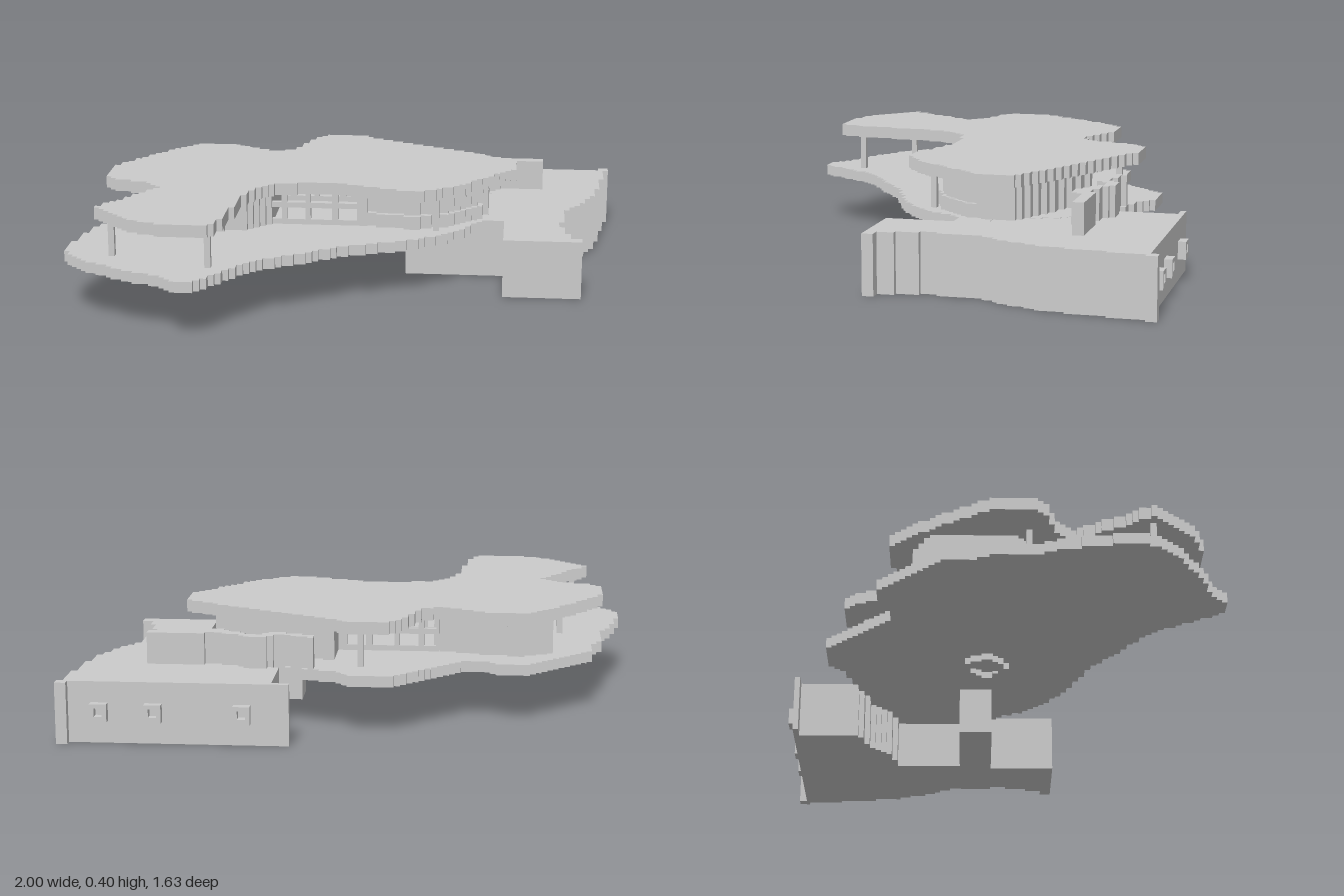
import * as THREE from 'three';

const CELL = 0.0208;
const material = new THREE.MeshStandardMaterial({ color: 0xcccccc, flatShading: true });

// Turns a rough outline of [x, z] points into a stair-stepped one on the block grid.
function steppedShape(points) {
  const grid = points.map(([x, z]) => [Math.round(x / CELL), Math.round(z / CELL)]);
  const path = [];
  grid.forEach(([x0, z0], i) => {
    const [x1, z1] = grid[(i + 1) % grid.length];
    const nx = Math.abs(x1 - x0), nz = Math.abs(z1 - z0);
    const sx = Math.sign(x1 - x0), sz = Math.sign(z1 - z0);
    let x = x0, z = z0;
    for (let a = 0, b = 0; a < nx || b < nz;) {
      path.push(new THREE.Vector2(x * CELL, z * CELL));
      if ((a + 0.5) * nz < (b + 0.5) * nx) { x += sx; a++; } else { z += sz; b++; }
    }
  });
  return new THREE.Shape(path);
}

// Extrudes a plan shape upward between two heights.
function addPlan(group, name, shape, y0, y1) {
  const geometry = new THREE.ExtrudeGeometry(shape, { depth: y1 - y0, bevelEnabled: false });
  geometry.rotateX(Math.PI / 2).translate(0, y1, 0);
  const mesh = new THREE.Mesh(geometry, material);
  mesh.name = name;
  group.add(mesh);
}

// Box given by its limits on each axis.
function addBox(group, name, [x0, x1], [y0, y1], [z0, z1]) {
  const mesh = new THREE.Mesh(new THREE.BoxGeometry(x1 - x0, y1 - y0, z1 - z0), material);
  mesh.position.set((x0 + x1) / 2, (y0 + y1) / 2, (z0 + z1) / 2);
  mesh.name = name;
  group.add(mesh);
}

// Window wall along x: posts and three rails, open between them.
function addWindowWall(group, name, z) {
  const wall = new THREE.Group();
  wall.name = name;
  for (const [a, b] of [[0.22, 0.24], [0.285, 0.305], [0.345, 0.36]]) {
    addBox(wall, 'windowRail', [-0.31, 0.07], [a, b], [z - 0.01, z + 0.01]);
  }
  for (const [a, b] of [[-0.31, -0.3], [-0.255, -0.235], [-0.165, -0.145], [-0.065, -0.04], [0.03, 0.07]]) {
    addBox(wall, 'windowPost', [a, b], [0.22, 0.355], [z - 0.01, z + 0.01]);
  }
  group.add(wall);
}

export function createModel() {
  const model = new THREE.Group();
  model.name = 'terraceHouse';

  // Rocky base with a pocket beneath the terrace
  addPlan(model, 'base', steppedShape([
    [0.19, -0.8], [0.98, -0.8], [0.98, -0.67], [0.95, -0.65], [0.95, -0.52], [0.93, -0.5], [0.93, -0.42],
    [0.91, -0.38], [0.87, -0.28], [0.84, -0.2], [0.82, -0.16], [0.82, -0.02], [0.8, -0.02], [0.8, 0.03],
    [0.82, 0.05], [0.82, 0.12], [0.84, 0.12], [0.84, 0.18], [0.865, 0.18], [0.865, 0.225], [0.58, 0.225],
    [0.58, -0.02], [0.21, -0.02], [0.21, -0.15], [0.57, -0.15], [0.57, -0.4], [0.44, -0.42], [0.36, -0.5],
    [0.25, -0.54], [0.25, -0.76], [0.19, -0.76],
  ]), 0, 0.22);
  addBox(model, 'pocketCeiling', [0.3, 0.58], [0.185, 0.219], [-0.5, -0.1]);
  addBox(model, 'baseCorner', [0.96, 1], [0, 0.22], [-0.82, -0.78]);
  for (const x of [0.35, 0.66, 0.85]) {
    addBox(model, 'backWindowSill', [x - 0.03, x + 0.03], [0.08, 0.1], [-0.82, -0.79]);
    addBox(model, 'backWindowLintel', [x - 0.03, x + 0.03], [0.13, 0.145], [-0.82, -0.79]);
    for (const s of [-1, 1]) {
      addBox(model, 'backWindowJamb', [x + s * 0.022 - 0.008, x + s * 0.022 + 0.008], [0.1, 0.13], [-0.82, -0.79]);
    }
  }
  addBox(model, 'sideWindow', [0.86, 0.89], [0.08, 0.13], [-0.36, -0.315]);

  // Cantilevered terrace
  addPlan(model, 'terrace', steppedShape([
    [-1, 0.42], [-1, 0.48], [-0.96, 0.57], [-0.88, 0.62], [-0.72, 0.7], [-0.6, 0.75], [-0.54, 0.82],
    [-0.48, 0.82], [-0.43, 0.75], [-0.35, 0.62], [-0.25, 0.51], [-0.15, 0.45], [0, 0.36], [0.2, 0.28],
    [0.35, 0.19], [0.44, 0.08], [0.49, -0.02], [0.49, -0.15], [0.44, -0.35], [0.35, -0.45], [0.2, -0.54],
    [0.12, -0.57], [0.03, -0.61], [0, -0.65], [-0.14, -0.65], [-0.2, -0.6], [-0.3, -0.49], [-0.42, -0.4],
    [-0.5, -0.4], [-0.53, -0.43], [-0.62, -0.43], [-0.68, -0.4], [-0.8, -0.29], [-0.87, -0.2],
    [-0.88, -0.1], [-0.91, -0.02], [-0.91, 0.13], [-0.95, 0.2],
  ]), 0.18, 0.22);

  // Ring hanging below the terrace
  const oval = (rx, rz) => Array.from({ length: 12 }, (_, i) => {
    const a = (i * Math.PI) / 6;
    return [-0.012 + rx * Math.cos(a), -0.05 + rz * Math.sin(a)];
  });
  const ring = steppedShape(oval(0.105, 0.085));
  ring.holes.push(steppedShape(oval(0.06, 0.045)));
  addPlan(model, 'undersideRing', ring, 0.155, 0.18);

  // Rooms either side of the glazed middle
  addPlan(model, 'westRoom', steppedShape([
    [-0.72, -0.24], [-0.72, 0.04], [-0.62, 0.17], [-0.5, 0.2], [-0.4, 0.18], [-0.3, 0.1],
    [-0.3, -0.23], [-0.42, -0.27], [-0.6, -0.32],
  ]), 0.22, 0.355);
  addPlan(model, 'eastRoom', steppedShape([
    [0.06, 0.07], [0.25, 0.11], [0.37, 0.06], [0.48, -0.06], [0.53, -0.13], [0.53, -0.22],
    [0.4, -0.3], [0.2, -0.38], [0.06, -0.42],
  ]), 0.22, 0.355);
  addPlan(model, 'eastPlinth', steppedShape([
    [0.06, 0.09], [0.25, 0.13], [0.4, 0.07], [0.49, -0.04], [0.49, -0.2], [0.06, -0.2],
  ]), 0.22, 0.27);
  addWindowWall(model, 'frontWindows', 0.08);
  addWindowWall(model, 'backWindows', -0.24);

  // Slim posts carrying the roof
  for (const [x, z] of [[-0.815, 0.53], [-0.45, 0.64], [-0.76, 0.1], [0.33, 0.12], [-0.04, -0.5]]) {
    addBox(model, 'roofPost', [x - 0.011, x + 0.011], [0.22, 0.36], [z - 0.011, z + 0.011]);
  }

  // Flowing flat roof
  addPlan(model, 'roof', steppedShape([
    [0.62, -0.25], [0.62, -0.13], [0.55, -0.03], [0.45, 0.08], [0.38, 0.16], [0.28, 0.22], [0.2, 0.22],
    [0.08, 0.19], [-0.05, 0.15], [-0.15, 0.14], [-0.25, 0.16], [-0.33, 0.22], [-0.38, 0.35], [-0.39, 0.62],
    [-0.44, 0.73], [-0.6, 0.73], [-0.7, 0.68], [-0.82, 0.6], [-0.87, 0.54], [-0.86, 0.49], [-0.8, 0.42],
    [-0.72, 0.32], [-0.69, 0.27], [-0.7, 0.22], [-0.76, 0.18], [-0.85, 0.17], [-0.91, 0.12], [-0.91, -0.03],
    [-0.86, -0.13], [-0.75, -0.28], [-0.64, -0.4], [-0.5, -0.4], [-0.42, -0.36], [-0.33, -0.32],
    [-0.25, -0.33], [-0.23, -0.4], [-0.19, -0.52], [-0.12, -0.58], [0, -0.58], [0.07, -0.55],
    [0.15, -0.49], [0.27, -0.43], [0.47, -0.34], [0.58, -0.28],
  ]), 0.355, 0.4);

  // Winding garden wall on the base
  addPlan(model, 'gardenWall', steppedShape([
    [0.12, -0.56], [0.19, -0.54], [0.25, -0.53], [0.31, -0.56], [0.38, -0.56], [0.42, -0.53], [0.49, -0.5],
    [0.55, -0.52], [0.73, -0.52], [0.73, -0.48], [0.57, -0.48], [0.51, -0.44], [0.47, -0.44], [0.42, -0.48],
    [0.36, -0.52], [0.32, -0.52], [0.27, -0.48], [0.19, -0.5], [0.12, -0.52],
  ]), 0.22, 0.335);

  return model;
}
